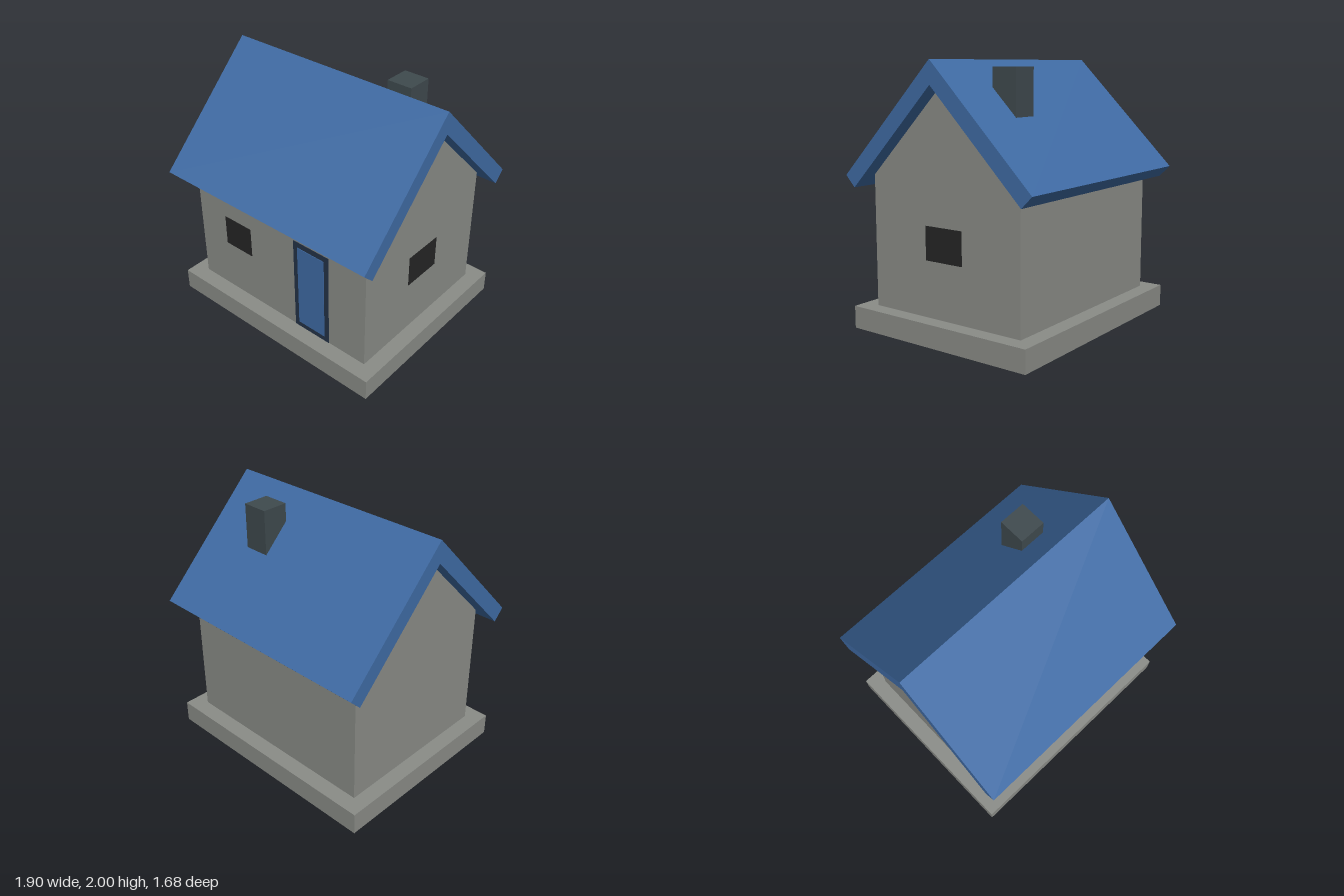
import * as THREE from 'three';

const material = (name, color) => {
  const m = new THREE.MeshStandardMaterial({ color });
  m.name = name;
  return m;
};

export function createModel() {
  const stone = material('stone grey', 0x8a8c87);
  const blue = material('roof blue', 0x3f6ba4);
  const navy = material('frame navy', 0x243246);
  const slate = material('chimney slate', 0x3f4a4e);
  const glass = material('window black', 0x252525);

  const house = new THREE.Group();
  house.name = 'house';

  const add = (name, geometry, mat) => {
    const mesh = new THREE.Mesh(geometry, mat);
    mesh.name = name;
    house.add(mesh);
    return mesh;
  };

  // Box given by its minimum and maximum corners
  const box = (name, mat, [x0, y0, z0], [x1, y1, z1]) =>
    add(name, new THREE.BoxGeometry(x1 - x0, y1 - y0, z1 - z0), mat)
      .position.set((x0 + x1) / 2, (y0 + y1) / 2, (z0 + z1) / 2);

  // Symmetric gable outline in the z-y plane, extruded along x
  const gable = (name, mat, points, halfLength) => {
    const shape = new THREE.Shape(points.map(([z, y]) => new THREE.Vector2(z, y)));
    const geometry = new THREE.ExtrudeGeometry(shape, { depth: halfLength * 2, bevelEnabled: false });
    geometry.translate(0, 0, -halfLength).rotateY(Math.PI / 2);
    add(name, geometry, mat);
  };

  // Plinth and walls
  box('plinth', stone, [-0.95, 0, -0.79], [0.95, 0.17, 0.79]);
  gable('walls', stone,
    [[-0.665, 0.17], [0.665, 0.17], [0.665, 1.165], [0, 1.83], [-0.665, 1.165]], 0.83);

  // Pitched roof with square-cut eaves
  gable('roof', blue,
    [[0, 2], [-0.84, 1.16], [-0.755, 1.075], [0, 1.83], [0.755, 1.075], [0.84, 1.16]], 0.95);

  // Chimney on the back slope
  box('chimney', slate, [0.31, 1.58, -0.395], [0.515, 1.95, -0.19]);

  // Door frame and door
  box('doorFrame', navy, [0.165, 0.17, 0.663], [0.495, 0.965, 0.669]);
  box('door', blue, [0.205, 0.215, 0.665], [0.455, 0.92, 0.673]);

  // Windows on the front and the left gable
  box('frontWindow', glass, [-0.55, 0.59, 0.663], [-0.28, 0.84, 0.669]);
  box('gableWindow', glass, [0.828, 0.59, -0.165], [0.834, 0.84, 0.165]);

  return house;
}
